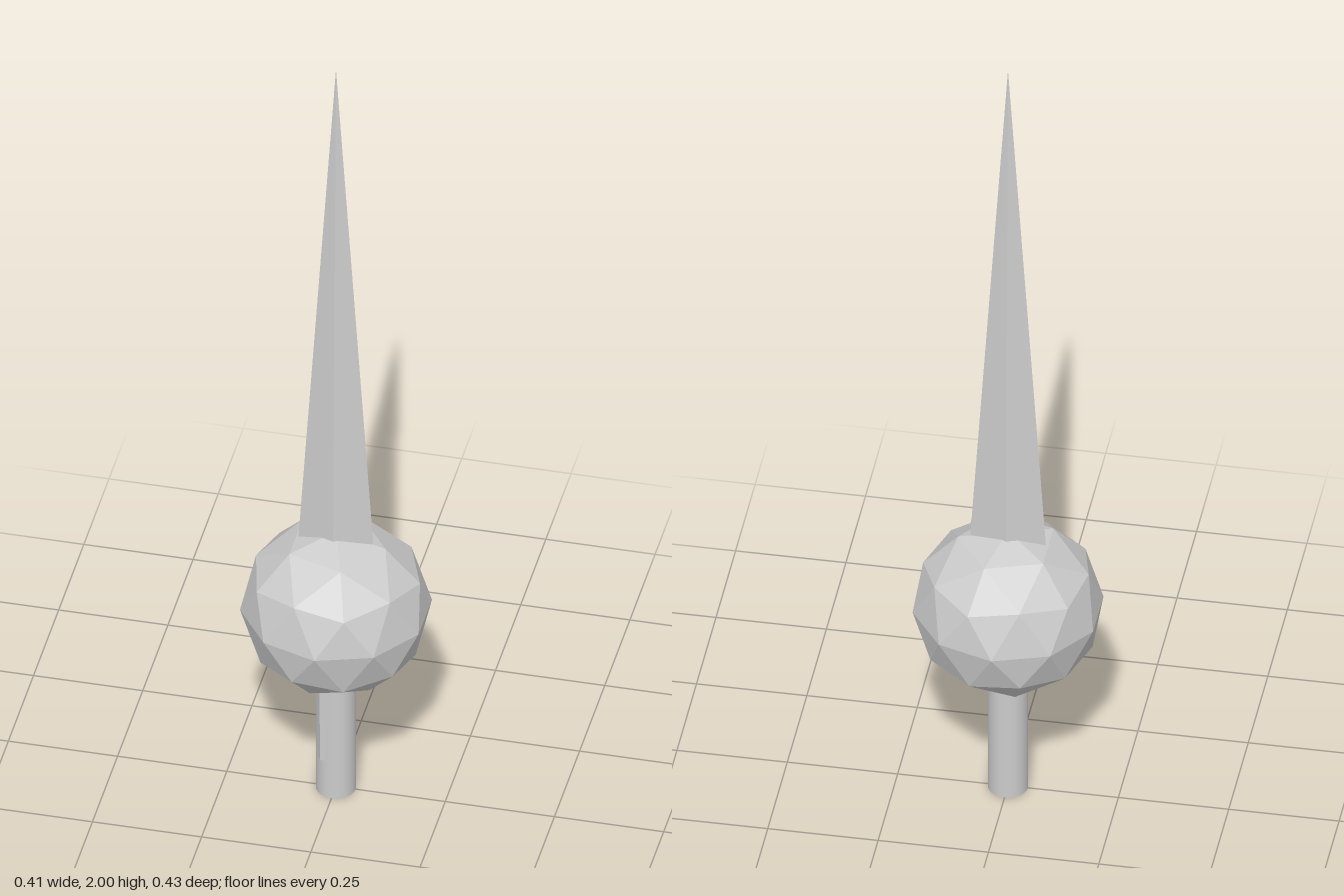
import * as THREE from 'three';

export function createModel() {
  const group = new THREE.Group();
  const smooth = new THREE.MeshStandardMaterial({ color: 0xcccccc });
  const faceted = new THREE.MeshStandardMaterial({ color: 0xcccccc, flatShading: true });

  const add = (name, geometry, material, x, y, z) => {
    const mesh = new THREE.Mesh(geometry, material);
    mesh.name = name;
    mesh.position.set(x, y, z);
    group.add(mesh);
    return mesh;
  };

  // Round shaft running up into the ball
  add('shaft', new THREE.CylinderGeometry(0.045, 0.045, 0.5, 32), smooth, 0, 0.25, 0);

  // Faceted ball, turned so one corner points straight up
  const ball = new THREE.IcosahedronGeometry(1, 1);
  ball.rotateZ(-Math.atan(2 / (1 + Math.sqrt(5))));
  ball.scale(0.215, 0.205, 0.215);
  add('ball', ball, faceted, 0, 0.507, 0);

  // Slender diamond-section blade, its base sunk into the ball
  const bladeBase = 0.62;
  const blade = new THREE.ConeGeometry(1, 2 - bladeBase, 4);
  blade.scale(0.09, 1, 0.03);
  add('blade', blade, faceted, 0, (2 + bladeBase) / 2, 0);

  // Small tapered sliver lying against the front of the shaft
  const sliver = new THREE.CylinderGeometry(0.02, 0.013, 0.26, 4);
  sliver.scale(1, 1, 0.55);
  add('sliver', sliver, faceted, -0.023, 0.23, 0.036).rotation.y = -0.5;

  return group;
}
